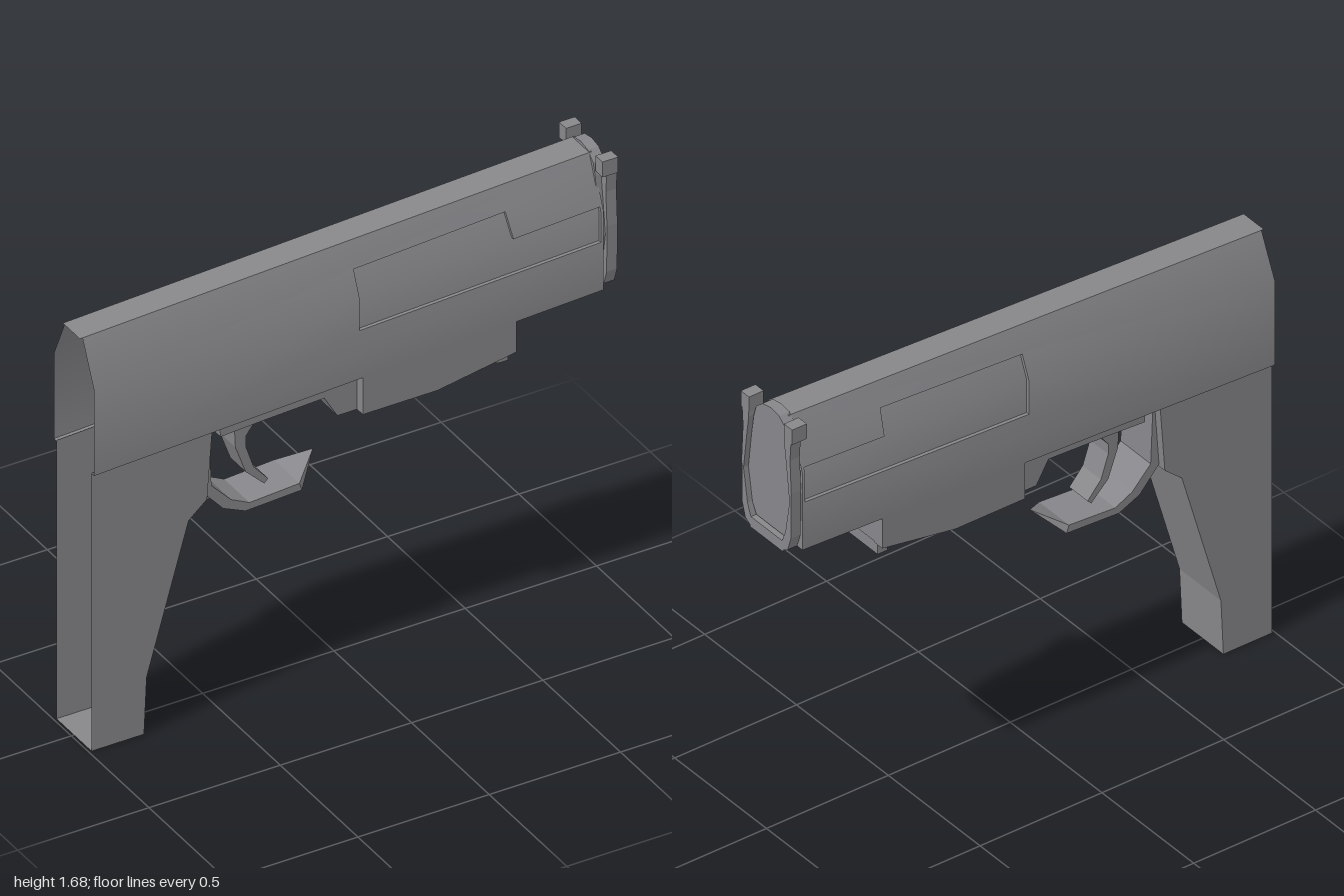
import * as THREE from 'three';

const metal = new THREE.MeshStandardMaterial({ color: 0x87878b, side: THREE.DoubleSide });
metal.name = 'grey metal';

// Guide lines of the upper body as functions of x
const topY = x => 1.629 + 0.0436 * x;
const shoulderY = x => 1.45 + 0.03 * x;
const bottomY = x => 1.13 + 0.043 * x;
const HALF = 0.13, TOP_HALF = 0.055, GRIP_HALF = 0.113;
const bodyZ = (x, y) => {
  const t = THREE.MathUtils.clamp((y - shoulderY(x)) / (topY(x) - shoulderY(x)), 0, 1);
  return THREE.MathUtils.lerp(HALF, TOP_HALF, t);
};

const shapeOf = pts => new THREE.Shape(pts.map(p => new THREE.Vector2(p[0], p[1])));

export function createModel() {
  const model = new THREE.Group();
  model.name = 'pistolFrame';

  const add = (name, geometry) => {
    const mesh = new THREE.Mesh(geometry, metal);
    mesh.name = name;
    model.add(mesh);
    return mesh;
  };

  // Side outline extruded across z
  const slab = (name, pts, z0, z1) => {
    const g = new THREE.ExtrudeGeometry(shapeOf(pts), { depth: z1 - z0, bevelEnabled: false });
    return add(name, g.translate(0, 0, z0));
  };

  // Outline in z and y extruded along x
  const endSlab = (name, pts, x0, x1) => {
    const g = new THREE.ExtrudeGeometry(shapeOf(pts), { depth: x1 - x0, bevelEnabled: false });
    return add(name, g.rotateY(Math.PI / 2).translate(x0, 0, 0));
  };

  const box = (name, x0, x1, y0, y1, z0, z1) => add(name,
    new THREE.BoxGeometry(x1 - x0, y1 - y0, z1 - z0)
      .translate((x0 + x1) / 2, (y0 + y1) / 2, (z0 + z1) / 2));

  // Strip of flat quads joining two rows of points
  const strip = (name, a, b) => {
    const pos = [];
    for (let i = 0; i < a.length - 1; i++) {
      pos.push(...a[i], ...b[i], ...b[i + 1], ...a[i], ...b[i + 1], ...a[i + 1]);
    }
    const g = new THREE.BufferGeometry();
    g.setAttribute('position', new THREE.Float32BufferAttribute(pos, 3));
    g.computeVertexNormals();
    return add(name, g);
  };
  const ribbon = (name, path, z0, z1) =>
    strip(name, path.map(p => [...p, z0]), path.map(p => [...p, z1]));

  // Flat outline wrapped onto one side of the body
  const sideSheet = (name, pts, side, zAt, rounded) => {
    const g = new THREE.ShapeGeometry(shapeOf(pts));
    const p = g.attributes.position, n = g.attributes.normal;
    for (let i = 0; i < p.count; i++) {
      const x = p.getX(i), y = p.getY(i);
      p.setZ(i, side * zAt(x, y));
      const a = rounded ? 0.45 * THREE.MathUtils.clamp((y - 1.2) / 0.4, 0, 1) : 0;
      n.setXYZ(i, 0, Math.sin(a), side * Math.cos(a));
    }
    if (side < 0) g.index.array.reverse();
    return add(name, g);
  };

  // Upper body sides with a stepped recess in each
  const X0 = -0.99, X1 = 0.95, L = 0.02, R = 0.94, DEPTH = 0.013;
  const sl = [L, shoulderY(L)], sr = [R, shoulderY(R)];
  const recessTop = [[R, 1.495], [0.61, 1.48], [0.6, 1.57], [L, 1.54]];
  const recessLow = [[L, 1.32], [R, 1.36]];
  const floorZ = (x, y) => bodyZ(x, y) - DEPTH;
  const gripSide = [[-0.99, 0], [-0.79, 0], [-0.78, 0.22], [-0.62, 0.78], [-0.55, 0.84],
    [-0.53, 1.11], [-0.99, 1.09]];

  for (const side of [1, -1]) {
    const tag = side > 0 ? 'Front' : 'Back';
    sideSheet('bodyLowerSide' + tag, [[X0, bottomY(X0)], [X1, bottomY(X1)], [X1, shoulderY(X1)],
      sr, recessLow[1], recessLow[0], sl, [X0, shoulderY(X0)]], side, bodyZ, true);
    sideSheet('bodyUpperSide' + tag, [[X0, shoulderY(X0)], sl, ...[...recessTop].reverse(), sr,
      [X1, shoulderY(X1)], [X1, topY(X1)], [X0, topY(X0)]], side, bodyZ, true);
    sideSheet('recessLowerFloor' + tag, [...recessLow, sr, sl], side, floorZ, true);
    sideSheet('recessUpperFloor' + tag, [sl, sr, ...recessTop], side, floorZ, true);
    const rim = [...recessLow, sr, ...recessTop, sl, recessLow[0]];
    const outer = rim.map(p => [...p, side * bodyZ(...p)]);
    const inner = rim.map(p => [...p, side * floorZ(...p)]);
    strip('recessRim' + tag, side > 0 ? outer : inner, side > 0 ? inner : outer);

    // Grip wall and the lip of the body above it
    sideSheet('gripSide' + tag, gripSide, side, () => GRIP_HALF, false);
    const lip = [[X0, bottomY(X0)], [-0.53, bottomY(-0.53)]];
    ribbon('bodyLip' + tag, lip, side > 0 ? HALF : -GRIP_HALF, side > 0 ? GRIP_HALF : -HALF);
  }

  // Body top, underside and front closure; the rear stays open
  ribbon('bodyTop', [[-1, topY(-1)], [X1, topY(X1)]], -TOP_HALF, TOP_HALF);
  ribbon('bodyUnderside', [[-0.53, bottomY(-0.53)], [X1, bottomY(X1)]], HALF, -HALF);
  endSlab('bodyFrontCap', [[-HALF, bottomY(X1)], [HALF, bottomY(X1)], [HALF, shoulderY(X1)],
    [TOP_HALF, topY(X1)], [-TOP_HALF, topY(X1)], [-HALF, shoulderY(X1)]], X1 - 0.008, X1);

  // Grip floor and front strap
  ribbon('gripShell', gripSide.slice(0, 6), GRIP_HALF, -GRIP_HALF);

  // Rounded end plate
  const half = [[0.08, 1.21], [0.1, 1.25], [0.122, 1.38], [0.105, 1.52], [0.093, 1.6],
    [0.08, 1.645], [0.045, 1.675]];
  const mirror = pts => pts.map(([z, y]) => [-z, y]).reverse();
  endSlab('endPlate', [...half, [0, 1.683], ...mirror(half)], 0.94, 0.982);

  // U-shaped band around the end plate, with a tab at each tip
  const bandOut = [[0.08, 1.165], [0.115, 1.185], [0.133, 1.24], [0.135, 1.42], [0.128, 1.55], [0.135, 1.65]];
  const bandIn = [[0.1, 1.65], [0.097, 1.6], [0.108, 1.52], [0.125, 1.38], [0.103, 1.25], [0.085, 1.205]];
  endSlab('endBand', [...bandOut, ...bandIn, ...mirror(bandIn), ...mirror(bandOut)], 0.96, 1);
  for (const s of [1, -1]) {
    box('bandTab', 0.94, 1, 1.62, 1.68, s > 0 ? 0.095 : -0.14, s > 0 ? 0.14 : -0.095);
  }
  box('bandFoot', 0.95, 1, 1.163, 1.2, -0.09, 0.09);

  // Narrow rail above the trigger
  slab('triggerRail', [[-0.49, 1.12], [-0.485, 1.05], [-0.32, 1.06], [-0.09, 1.07], [-0.04, 0.985],
    [0.04, 0.985], [0.04, 1.14]], -0.09, 0.09);

  // Lower block: raised core between two cheeks
  slab('blockCore', [[0.035, 1.03], [0.62, 1.04], [0.62, 1.16], [0.035, 1.135]], -0.09, 0.09);
  const cheek = [[0.035, 0.985], [0.32, 0.985], [0.62, 1.035], [0.62, 1.16], [0.035, 1.135]];
  slab('blockCheek', cheek, 0.085, 0.127);
  slab('blockCheek', cheek, -0.127, -0.085);

  // Catch under the block
  for (const z of [-0.05, 0.05]) {
    slab('catchArm', [[0.1, 0.985], [0.58, 0.99], [0.58, 1.005], [0.1, 1.0]], z - 0.015, z + 0.015);
  }
  box('catchRoot', 0.035, 0.12, 0.985, 1.04, -0.09, 0.09);
  box('catchEnd', 0.57, 0.61, 0.985, 1.03, -0.088, 0.088);

  // Trigger
  slab('trigger', [[-0.41, 1.07], [-0.405, 0.96], [-0.365, 0.85], [-0.295, 0.782], [-0.28, 0.797],
    [-0.335, 0.86], [-0.365, 0.95], [-0.365, 0.99], [-0.305, 1.07]], -0.05, 0.05);

  // Trigger guard, ending in an upturned point
  slab('triggerGuard', [[-0.555, 1.11], [-0.55, 0.85], [-0.47, 0.76], [-0.385, 0.722], [-0.17, 0.733],
    [-0.18, 0.762], [-0.37, 0.75], [-0.44, 0.785], [-0.515, 0.865], [-0.525, 1.11]], -0.082, 0.082);
  const tip = [-0.08, 0.82, 0];
  const root = [[-0.17, 0.733, 0.082], [-0.17, 0.733, -0.082], [-0.18, 0.762, -0.082],
    [-0.18, 0.762, 0.082], [-0.17, 0.733, 0.082]];
  strip('guardPoint', root, root.map(() => tip));

  return model;
}
